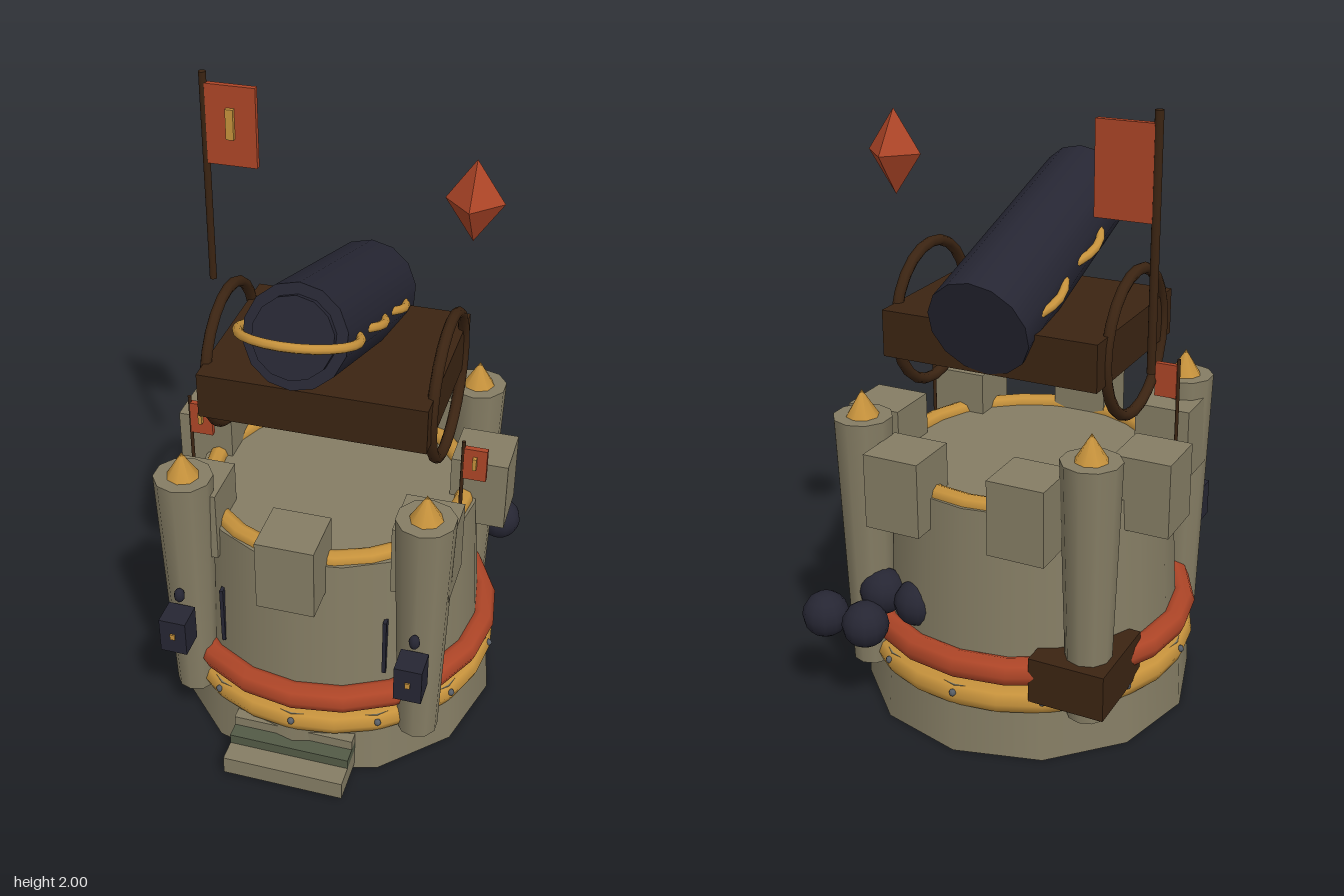
import * as THREE from 'three';

const mat = (name, color, extra = {}) => {
  const m = new THREE.MeshStandardMaterial({ color, ...extra });
  m.name = name;
  return m;
};

export function createModel() {
  const stone = mat('stone', 0x857d64);
  const gold = mat('gold', 0xc6923c);
  const red = mat('red', 0xad4527);
  const gemRed = mat('gemRed', 0xad4527, { flatShading: true });
  const iron = mat('iron', 0x262633);
  const wood = mat('wood', 0x3b2412);
  const moss = mat('moss', 0x535a46);
  const steel = mat('steel', 0x5a6068);

  const model = new THREE.Group();
  model.name = 'cannonTower';
  const CZ = -0.027; // tower axis

  const add = (name, geo, material, x, y, z, parent = model) => {
    const m = new THREE.Mesh(geo, material);
    m.name = name;
    m.position.set(x, y, z);
    parent.add(m);
    return m;
  };
  const cyl = (rt, rb, h, n) => new THREE.CylinderGeometry(rt, rb, h, n);
  const box = (w, h, d) => new THREE.BoxGeometry(w, h, d);
  const ring = (R, r, sides, segs) => new THREE.TorusGeometry(R, r, sides, segs).rotateX(Math.PI / 2);

  // Foundation, wall and bands
  add('foundation', cyl(0.53, 0.545, 0.23, 12), stone, 0, 0.115, CZ);
  add('wall', cyl(0.46, 0.49, 0.58, 20), stone, 0, 0.51, CZ);
  add('lowerBand', ring(0.5, 0.045, 8, 24), gold, 0, 0.195, CZ);
  add('redBand', ring(0.505, 0.045, 8, 20), red, 0, 0.295, CZ);
  add('parapetBand', ring(0.42, 0.03, 8, 24), gold, 0, 0.8, CZ);
  for (let i = 0; i < 12; i++) {
    const a = (i / 12) * Math.PI * 2;
    add('rivet', new THREE.SphereGeometry(0.012, 6, 4), steel,
      Math.sin(a) * 0.54, 0.208, CZ + Math.cos(a) * 0.54);
  }

  // Seven square merlons around the parapet
  for (let i = 0; i < 7; i++) {
    const a = (i / 7) * Math.PI * 2;
    add('merlon', box(0.183, 0.24, 0.183), stone,
      Math.sin(a) * 0.475, 0.82, CZ + Math.cos(a) * 0.475);
  }

  // Corner turrets with gold spikes
  for (const s of [-1, 1]) {
    for (const z of [0.355, -0.408]) {
      add('turret', cyl(0.093, 0.066, 0.845, 10), stone, s * 0.382, 0.5775, z);
      add('turretSpike', new THREE.ConeGeometry(0.052, 0.085, 8), gold, s * 0.382, 1.0425, z);
    }
    // Lanterns on the front turrets
    add('lantern', box(0.088, 0.125, 0.09), iron, s * 0.382, 0.483, 0.483);
    add('lanternLight', box(0.016, 0.02, 0.006), gold, s * 0.382, 0.487, 0.53);
    add('lanternHook', new THREE.SphereGeometry(0.02, 8, 6), iron, s * 0.382, 0.597, 0.452)
      .scale.set(0.9, 1.3, 0.9);
    // Arrow slits
    add('arrowSlit', box(0.012, 0.21, 0.03), iron, s * 0.27, 0.475, 0.365);
  }

  // Entrance steps
  add('lowerStep', box(0.4, 0.065, 0.2), stone, 0, 0.0475, 0.515);
  add('mossyStep', box(0.4, 0.035, 0.15), moss, 0, 0.0975, 0.47);
  add('upperStep', box(0.4, 0.035, 0.1), stone, 0, 0.1325, 0.445);

  // Crate and cannonballs at the back
  add('crate', box(0.245, 0.15, 0.29), wood, -0.3525, 0.285, -0.365);
  for (const [x, y, z] of [[0.323, 0.35, -0.54], [0.47, 0.35, -0.54], [0.316, 0.42, -0.44], [0.19, 0.41, -0.44]]) {
    add('cannonball', new THREE.SphereGeometry(0.075, 12, 8), iron, x, y, z);
  }

  // Gun carriage
  add('carriage', box(0.71, 0.148, 0.585), wood, 0, 1.24, -0.025);
  for (const s of [-1, 1]) {
    const wheel = new THREE.TorusGeometry(0.225, 0.018, 8, 24).rotateY(Math.PI / 2);
    add('wheel', wheel, wood, s * 0.352, 1.227, -0.02);
  }

  // Tilted barrel with flat-lying rings
  const cannon = new THREE.Group();
  cannon.name = 'cannon';
  cannon.position.set(0, 1.449, 0.013);
  cannon.rotation.x = -0.323;
  model.add(cannon);
  add('barrel', cyl(0.153, 0.163, 0.805, 14).rotateX(Math.PI / 2), iron, 0, 0, 0, cannon);
  add('muzzle', cyl(0.12, 0.12, 0.04, 14).rotateX(Math.PI / 2), iron, 0, 0, 0.405, cannon);
  for (const z of [0.363, 0.076, -0.198]) {
    add('barrelRing', ring(0.172, 0.014, 8, 24), gold, 0, 0, z, cannon);
  }

  // Flags: pole, cloth to the +x side, gold emblem on the front
  const flag = (name, x, z, y0, y1, r, w, clothY, h, t, ew, eh) => {
    const g = new THREE.Group();
    g.name = name;
    g.position.set(x, 0, z);
    model.add(g);
    add('pole', cyl(r, r, y1 - y0, 8), wood, 0, (y0 + y1) / 2, 0, g);
    add('cloth', box(w, h, t), red, r * 0.5 + w / 2, clothY, 0, g);
    add('emblem', box(ew, eh, 0.015), gold, r * 0.5 + w / 2, clothY + 0.01, t / 2 + 0.007, g);
  };
  flag('bigFlag', -0.539, -0.372, 1.28, 2.0, 0.013, 0.168, 1.833, 0.265, 0.02, 0.026, 0.1);
  for (const x of [-0.44, 0.438]) {
    flag('smallFlag', x, 0.128, 0.78, 1.135, 0.006, 0.072, 1.06, 0.11, 0.018, 0.012, 0.04);
  }

  // Floating gem
  add('gem', new THREE.OctahedronGeometry(1), gemRed, 0.372, 1.77, -0.183).scale.set(0.09, 0.13, 0.092);

  return model;
}
